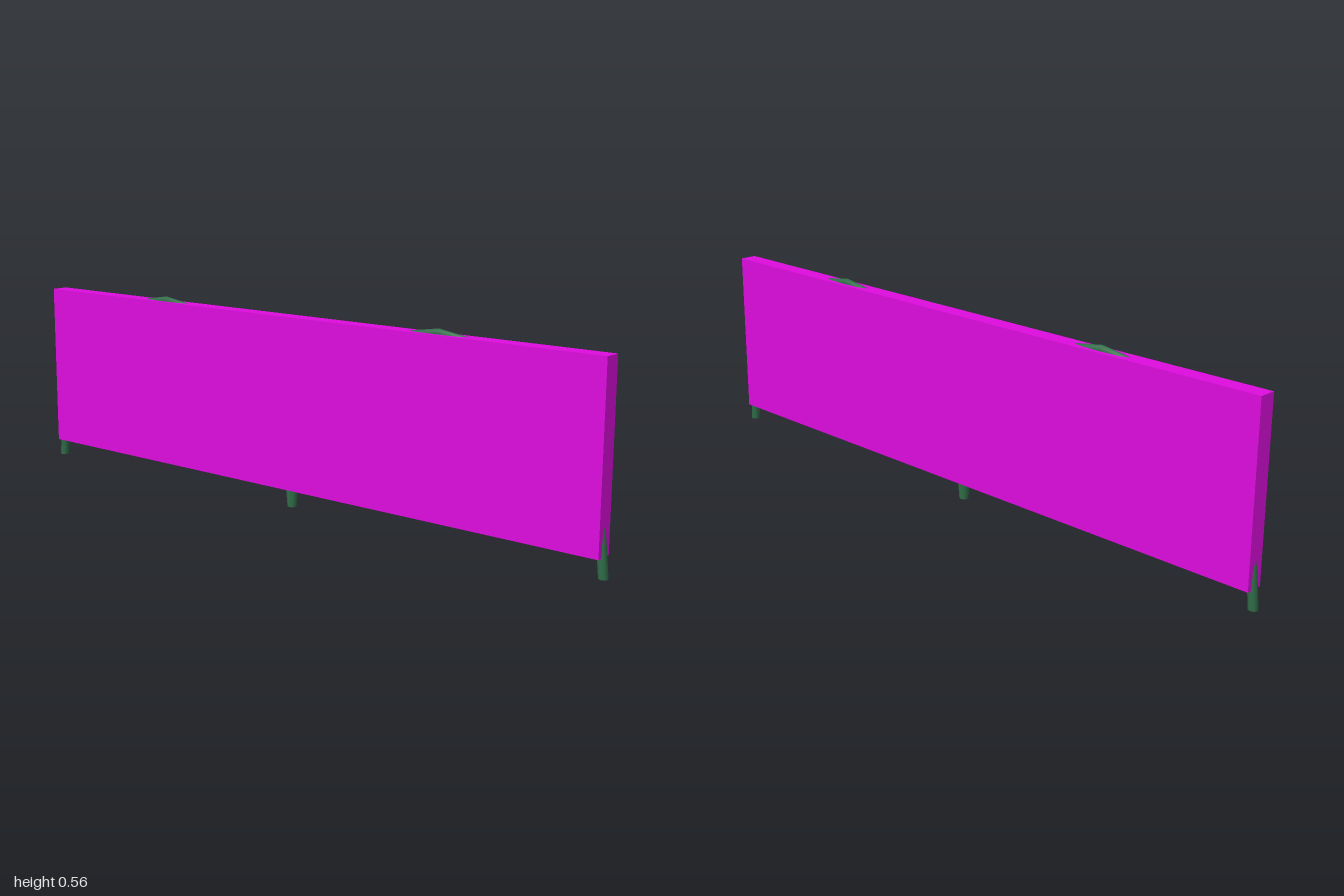
import * as THREE from 'three';

const SPAN = 0.987, RISE = 0.545, RADIUS = 0.013;

// Half-ellipse hoop standing on the ground, centred on x = cx
class HoopCurve extends THREE.Curve {
  constructor(cx) {
    super();
    this.cx = cx;
  }
  getPoint(t, target = new THREE.Vector3()) {
    const a = Math.PI * t;
    return target.set(this.cx - Math.cos(a) * SPAN / 2, 0.001 + Math.sin(a) * RISE, 0);
  }
}

export function createModel() {
  const model = new THREE.Group();
  const fabric = new THREE.MeshStandardMaterial({ color: 0xdd0cdd });
  const metal = new THREE.MeshStandardMaterial({ color: 0x2f6b47, side: THREE.DoubleSide });

  // Long upright panel
  const panel = new THREE.Mesh(new THREE.BoxGeometry(1.97, 0.492, 0.05), fabric);
  panel.name = 'panel';
  panel.position.y = 0.299;
  model.add(panel);

  // Two hoops inside the panel; their feet and crowns show outside it
  for (const side of [-1, 1]) {
    const cx = side * SPAN / 2;
    const hoop = new THREE.Group();
    hoop.name = side > 0 ? 'leftHoop' : 'rightHoop';
    const tube = new THREE.Mesh(new THREE.TubeGeometry(new HoopCurve(cx), 12, RADIUS, 8), metal);
    tube.name = 'hoopTube';
    hoop.add(tube);

    // Closed ends of the feet
    for (const end of [-1, 1]) {
      const cap = new THREE.Mesh(new THREE.CircleGeometry(RADIUS, 8), metal);
      cap.name = 'footCap';
      cap.rotation.x = Math.PI / 2;
      cap.position.set(cx + end * SPAN / 2, 0.001, 0);
      hoop.add(cap);
    }
    model.add(hoop);
  }
  return model;
}
